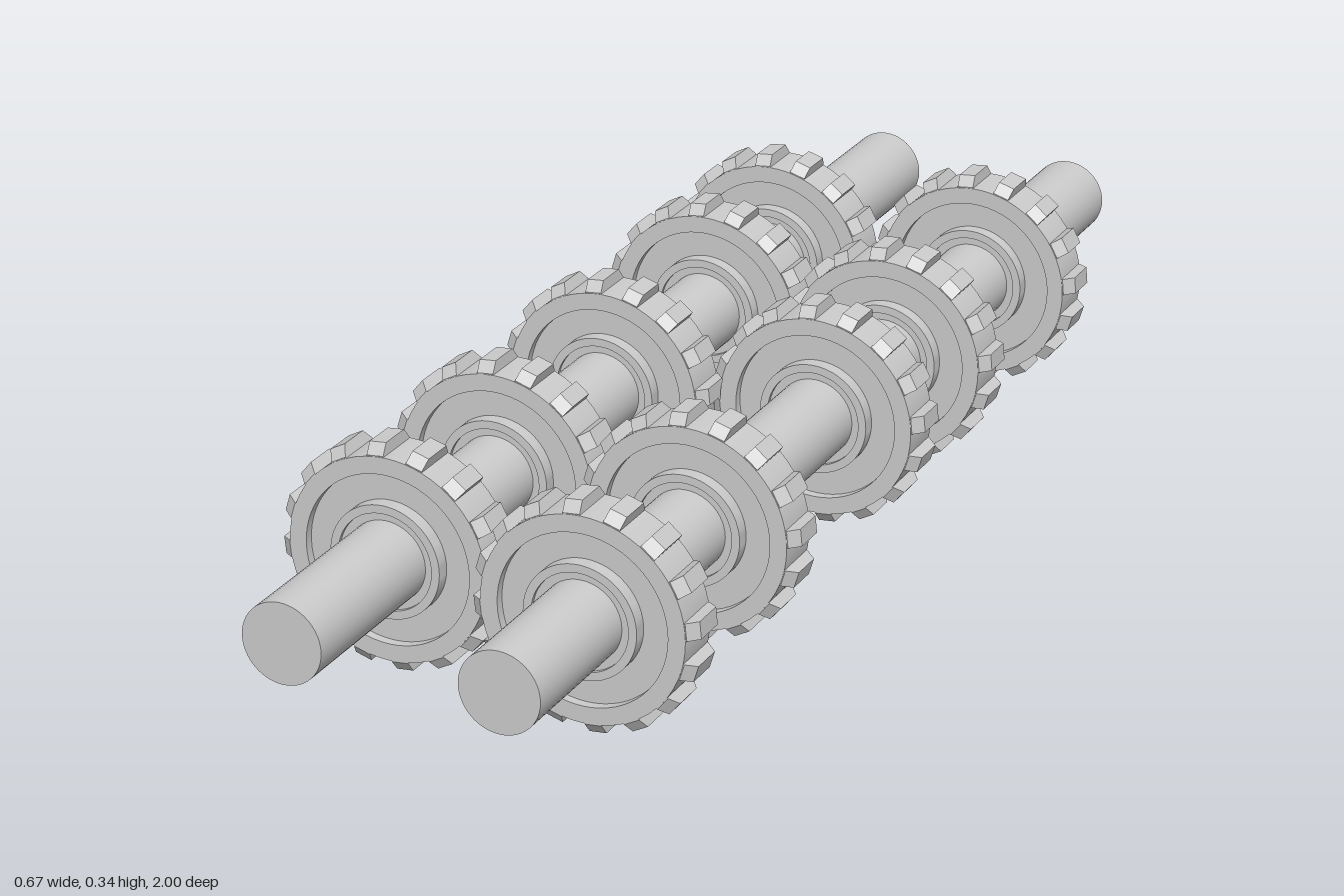
import * as THREE from 'three';
import { mergeGeometries, toCreasedNormals } from 'three/addons/utils/BufferGeometryUtils.js';

const AXIS_Y = 0.173, SHAFT_R = 0.061, TEETH = 16, TOOTH_OFFSET = 5.4;

// Turned gear blank: hub, recessed web and raised rim, mirrored front to back
function gearBodyGeometry() {
  const half = [ // [radius, half thickness] from the bore to the rim
    [0.059, 0.039], [0.0735, 0.039], [0.0735, 0.045], [0.086, 0.045],
    [0.086, 0.024], [0.129, 0.024], [0.129, 0.038], [0.155, 0.038],
  ];
  const profile = [
    ...half.map(([r, z]) => new THREE.Vector2(r, -z)),
    ...half.slice().reverse().map(([r, z]) => new THREE.Vector2(r, z)),
  ];
  const g = new THREE.LatheGeometry(profile, 64).rotateX(Math.PI / 2);
  return toCreasedNormals(g, 0.5);
}

// Ring of teeth with chamfered ends
function teethGeometry() {
  const width = 0.026;
  const section = new THREE.Shape([
    [0.145, -0.037], [0.156, -0.037], [0.172, -0.025],
    [0.172, 0.025], [0.156, 0.037], [0.145, 0.037],
  ].map(([r, z]) => new THREE.Vector2(r, z)));
  const tooth = new THREE.ExtrudeGeometry(section, { depth: width, bevelEnabled: false })
    .translate(0, 0, -width / 2)
    .rotateX(Math.PI / 2);
  const all = [];
  for (let i = 0; i < TEETH; i++) {
    const angle = THREE.MathUtils.degToRad(TOOTH_OFFSET + (i * 360) / TEETH);
    all.push(tooth.clone().rotateZ(angle));
  }
  return mergeGeometries(all);
}

export function createModel() {
  const model = new THREE.Group();
  model.name = 'gearShafts';
  const material = new THREE.MeshStandardMaterial({ color: 0xcccccc });
  const body = gearBodyGeometry();
  const teeth = teethGeometry();

  const addMesh = (parent, name, geometry) => {
    const mesh = new THREE.Mesh(geometry, material);
    mesh.name = name;
    parent.add(mesh);
    return mesh;
  };

  // Two parallel shafts, each carrying five gears
  const assemblies = [
    { name: 'rightShaft', x: -0.164, back: -0.995, gears: [-0.571, -0.328, 0.022, 0.36, 0.677] },
    { name: 'leftShaft', x: 0.164, back: -1, gears: [-0.624, -0.28, -0.025, 0.407, 0.727] },
  ];
  for (const { name, x, back, gears } of assemblies) {
    const assembly = new THREE.Group();
    assembly.name = name + 'Assembly';
    assembly.position.set(x, AXIS_Y, 0);
    const rod = new THREE.CylinderGeometry(SHAFT_R, SHAFT_R, 1 - back, 48).rotateX(Math.PI / 2);
    addMesh(assembly, name, rod).position.z = (1 + back) / 2;
    gears.forEach((z, i) => {
      const gear = new THREE.Group();
      gear.name = 'gear' + (i + 1);
      gear.position.z = z;
      addMesh(gear, 'gearBody', body);
      addMesh(gear, 'gearTeeth', teeth);
      assembly.add(gear);
    });
    model.add(assembly);
  }
  return model;
}
